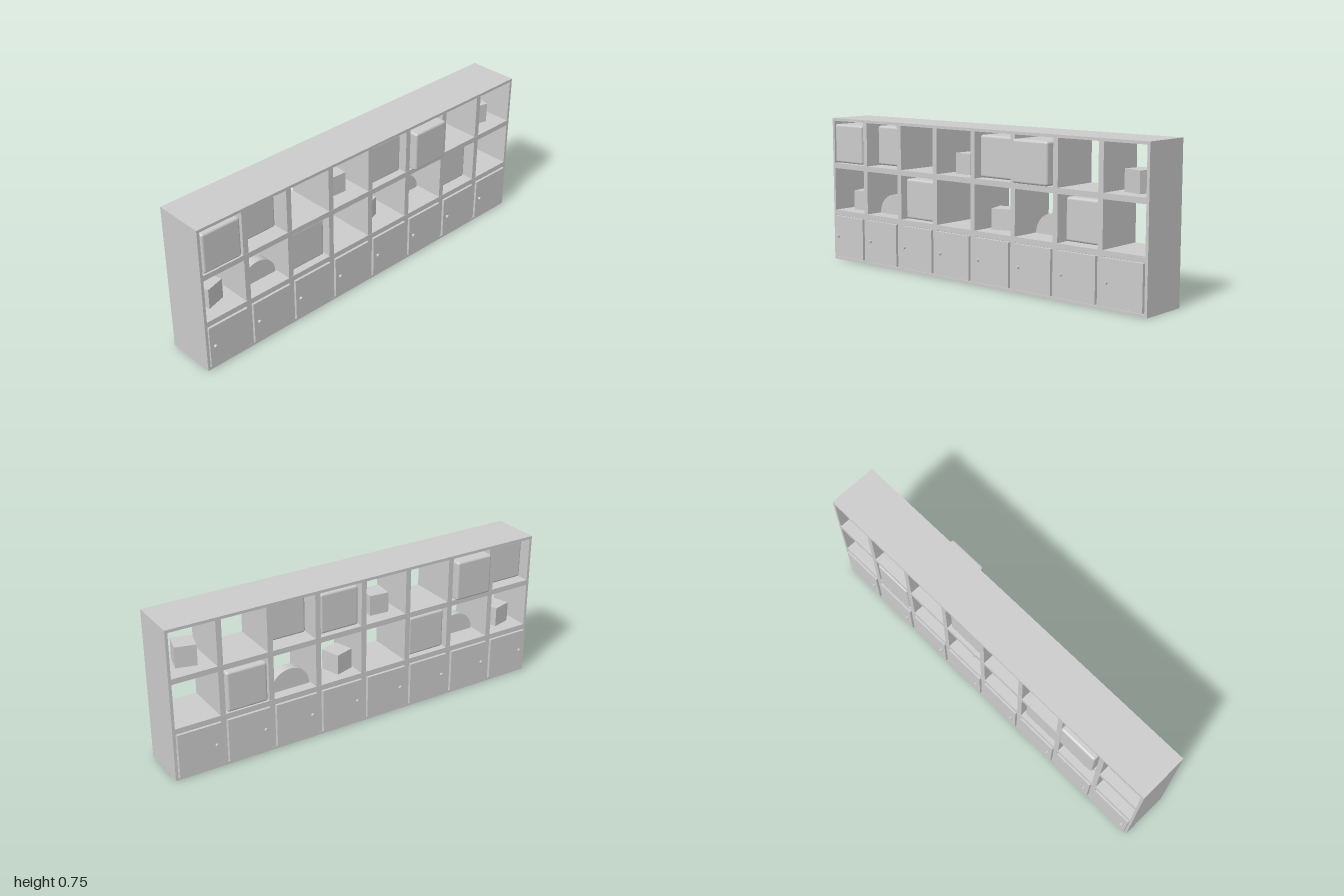
import * as THREE from 'three';
import { RoundedBoxGeometry } from 'three/addons/geometries/RoundedBoxGeometry.js';

const BACK = -0.129, FRONT = 0.122;
const DEPTH = FRONT - BACK, MID = (FRONT + BACK) / 2;
const PITCH = 0.25, COLUMNS = 8;
const LOWER_SHELF = 0.265, UPPER_SHELF = 0.515; // upper faces of the shelves

export function createModel() {
  const model = new THREE.Group();
  model.name = 'cubbyShelf';
  const material = new THREE.MeshStandardMaterial({ color: 0xcccccc });
  const columnX = (i) => -0.877 + i * PITCH;

  function add(name, geometry, x, y, z, parent = model) {
    const mesh = new THREE.Mesh(geometry, material);
    mesh.name = name;
    mesh.position.set(x, y, z);
    parent.add(mesh);
    return mesh;
  }

  // Frame: horizontal boards given by bottom and top height
  const frame = new THREE.Group();
  frame.name = 'frame';
  model.add(frame);
  const boards = [
    ['bottomBoard', 0, 0.014],
    ['lowerShelf', 0.238, LOWER_SHELF],
    ['upperShelf', 0.488, UPPER_SHELF],
    ['topBoard', 0.738, 0.752],
  ];
  for (const [name, low, high] of boards) {
    add(name, new THREE.BoxGeometry(2, high - low, DEPTH), 0, (low + high) / 2, MID, frame);
  }

  // Side walls and dividers
  for (const side of [-1, 1]) {
    add('sideWall', new THREE.BoxGeometry(0.014, 0.752, DEPTH), side * 0.993, 0.376, MID, frame);
  }
  for (let i = 1; i < COLUMNS; i++) {
    add('divider', new THREE.BoxGeometry(0.027, 0.745, DEPTH - 0.002), -1.001 + i * PITCH, 0.375, MID, frame);
  }

  // Doors with round knobs on both faces of the bottom row
  const doorGeometry = new THREE.BoxGeometry(0.217, 0.217, 0.018);
  const knobGeometry = new THREE.CylinderGeometry(0.008, 0.008, 0.014, 20).rotateX(Math.PI / 2);
  for (let i = 0; i < COLUMNS; i++) {
    for (const [side, face] of [[1, FRONT], [-1, BACK]]) {
      add('door', doorGeometry, columnX(i), 0.1265, face);
      add('doorKnob', knobGeometry, columnX(i) - 0.081, 0.127, face + side * 0.0135);
    }
  }

  // Soft storage cubes: column, shelf height, centre depth
  const cubeGeometry = new RoundedBoxGeometry(0.205, 0.202, 0.204, 3, 0.012);
  const cubes = [
    [0, UPPER_SHELF, 0.022], [1, UPPER_SHELF, -0.051],
    [4, UPPER_SHELF, -0.01], [5, UPPER_SHELF, 0.051],
    [2, LOWER_SHELF, -0.007], [6, LOWER_SHELF, -0.03],
  ];
  for (const [column, shelf, z] of cubes) {
    add('storageCube', cubeGeometry, columnX(column), shelf + 0.105, z);
  }

  // Small blocks, each turned a little: x, shelf height, depth, turn
  const blockGeometry = new THREE.BoxGeometry(0.1, 0.102, 0.1);
  const blocks = [
    [-0.882, LOWER_SHELF, -0.01, 0.27], [0.083, LOWER_SHELF, -0.02, 0.3],
    [-0.135, UPPER_SHELF, -0.01, -0.08], [0.867, UPPER_SHELF, -0.01, -0.25],
  ];
  for (const [x, shelf, z, turn] of blocks) {
    add('smallBlock', blockGeometry, x, shelf + 0.051, z).rotation.y = turn;
  }

  // Half discs standing on the lower shelf
  const half = new THREE.Shape();
  half.absarc(0, 0, 0.103, 0, Math.PI, false);
  half.closePath();
  const halfGeometry = new THREE.ExtrudeGeometry(half, { depth: 0.05, bevelEnabled: false, curveSegments: 32 });
  halfGeometry.translate(0, 0, -0.025);
  for (const [column, z] of [[1, 0.01], [5, -0.05]]) {
    add('halfDisc', halfGeometry, columnX(column), LOWER_SHELF, z);
  }

  return model;
}
